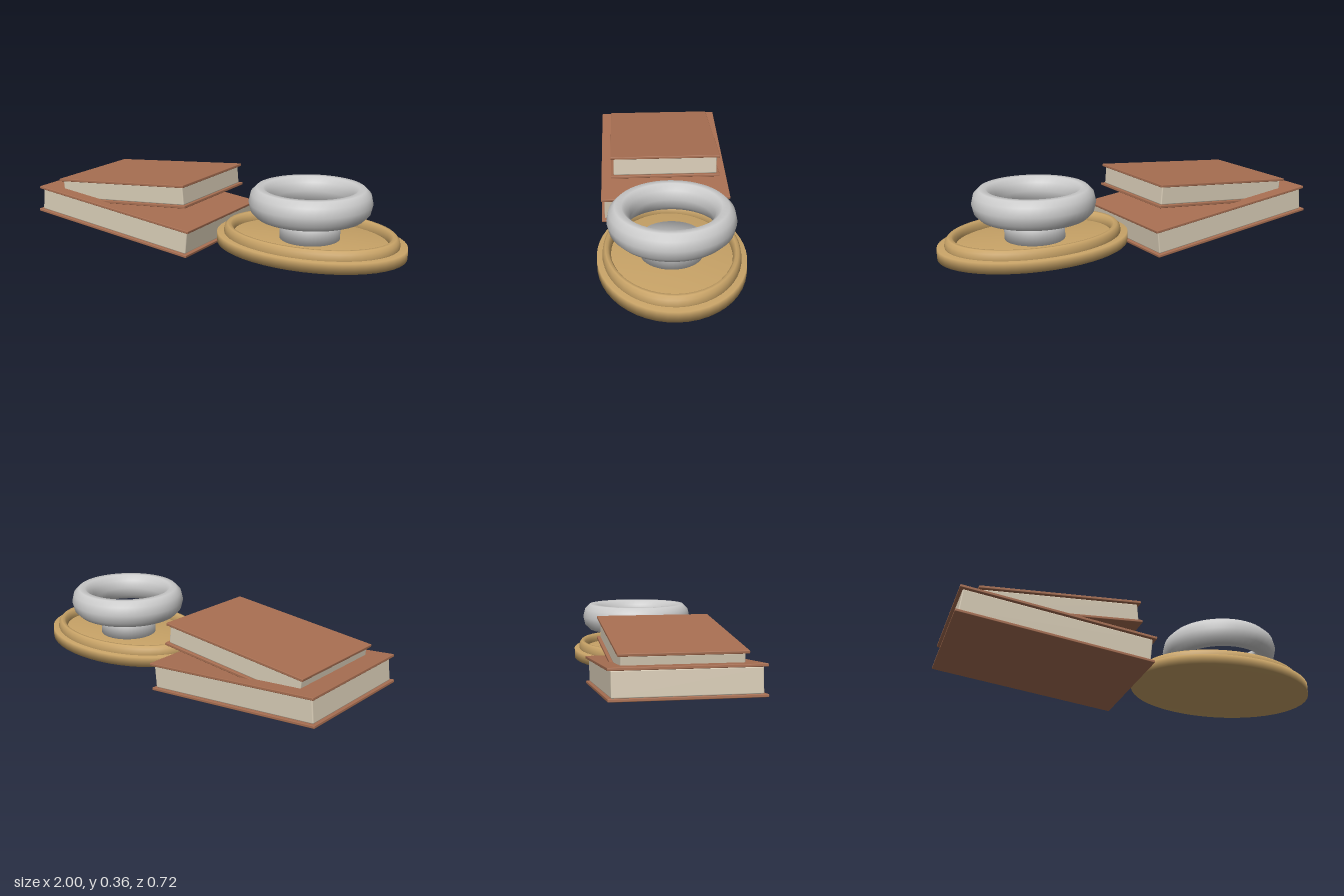
import * as THREE from 'three';
import { mergeVertices } from 'three/addons/utils/BufferGeometryUtils.js';
import { RoundedBoxGeometry } from 'three/addons/geometries/RoundedBoxGeometry.js';

const mat = (color) => new THREE.MeshStandardMaterial({ color });

// Shares vertices so the shading runs softly over the edges.
function soften(geometry) {
  geometry.deleteAttribute('normal');
  geometry.deleteAttribute('uv');
  const merged = mergeVertices(geometry, 1e-4);
  merged.computeVertexNormals();
  return merged;
}

function addMesh(parent, name, geometry, material, y = 0) {
  const mesh = new THREE.Mesh(geometry, material);
  mesh.name = name;
  mesh.position.y = y;
  parent.add(mesh);
  return mesh;
}

// Closed book: two cover boards around a slightly smaller page block.
function makeBook(name, length, height, depth, inset, coverMat, pageMat) {
  const book = new THREE.Group();
  book.name = name;
  const board = 0.014;
  const cover = new RoundedBoxGeometry(length, board, depth, 2, 0.003);
  addMesh(book, 'topCover', cover, coverMat, (height - board) / 2);
  addMesh(book, 'bottomCover', cover, coverMat, (board - height) / 2);
  const pages = new RoundedBoxGeometry(length - 2 * inset, height - 2 * board + 0.002, depth - 2 * inset, 2, 0.006);
  addMesh(book, 'pages', pages, pageMat);
  return book;
}

// Horizontal ring whose tube is taller than it is wide.
function ringGeometry(radius, tube, stretch, depthScale) {
  const g = new THREE.TorusGeometry(radius, tube, 10, 48);
  g.rotateX(-Math.PI / 2);
  g.scale(1, stretch, depthScale);
  return soften(g);
}

function discGeometry(radius, height, depthScale) {
  const g = new THREE.CylinderGeometry(radius, radius, height, 48);
  g.scale(1, 1, depthScale);
  return soften(g);
}

export function createModel() {
  const model = new THREE.Group();
  model.name = 'booksAndDish';
  const coverMat = mat(0xa86f52);
  const pageMat = mat(0xd8ccb6);
  const gold = mat(0xc8a367);
  const grey = mat(0xcccccc);

  // Stacked books, leaning opposite ways
  const lower = makeBook('lowerBook', 0.985, 0.144, 0.69, 0.016, coverMat, pageMat);
  lower.position.set(-0.502, 0.125, 0);
  lower.rotation.z = -THREE.MathUtils.degToRad(6);
  const upper = makeBook('upperBook', 0.823, 0.12, 0.58, 0.015, coverMat, pageMat);
  upper.position.set(-0.475, 0.266, 0);
  upper.rotation.z = THREE.MathUtils.degToRad(5);
  model.add(lower, upper);

  // Oval dish with a raised bead
  const dish = new THREE.Group();
  dish.name = 'dish';
  dish.position.x = 0.5;
  addMesh(dish, 'plate', discGeometry(0.5, 0.053, 0.72), gold, 0.0815);
  addMesh(dish, 'plateBead', ringGeometry(0.434, 0.029, 1.4, 0.72), gold, 0.115);

  // Grey foot and the ring above it
  addMesh(dish, 'foot', discGeometry(0.152, 0.1, 1), grey, 0.15);
  addMesh(dish, 'ring', ringGeometry(0.254, 0.055, 1.38, 1), grey, 0.294);
  model.add(dish);

  return model;
}
